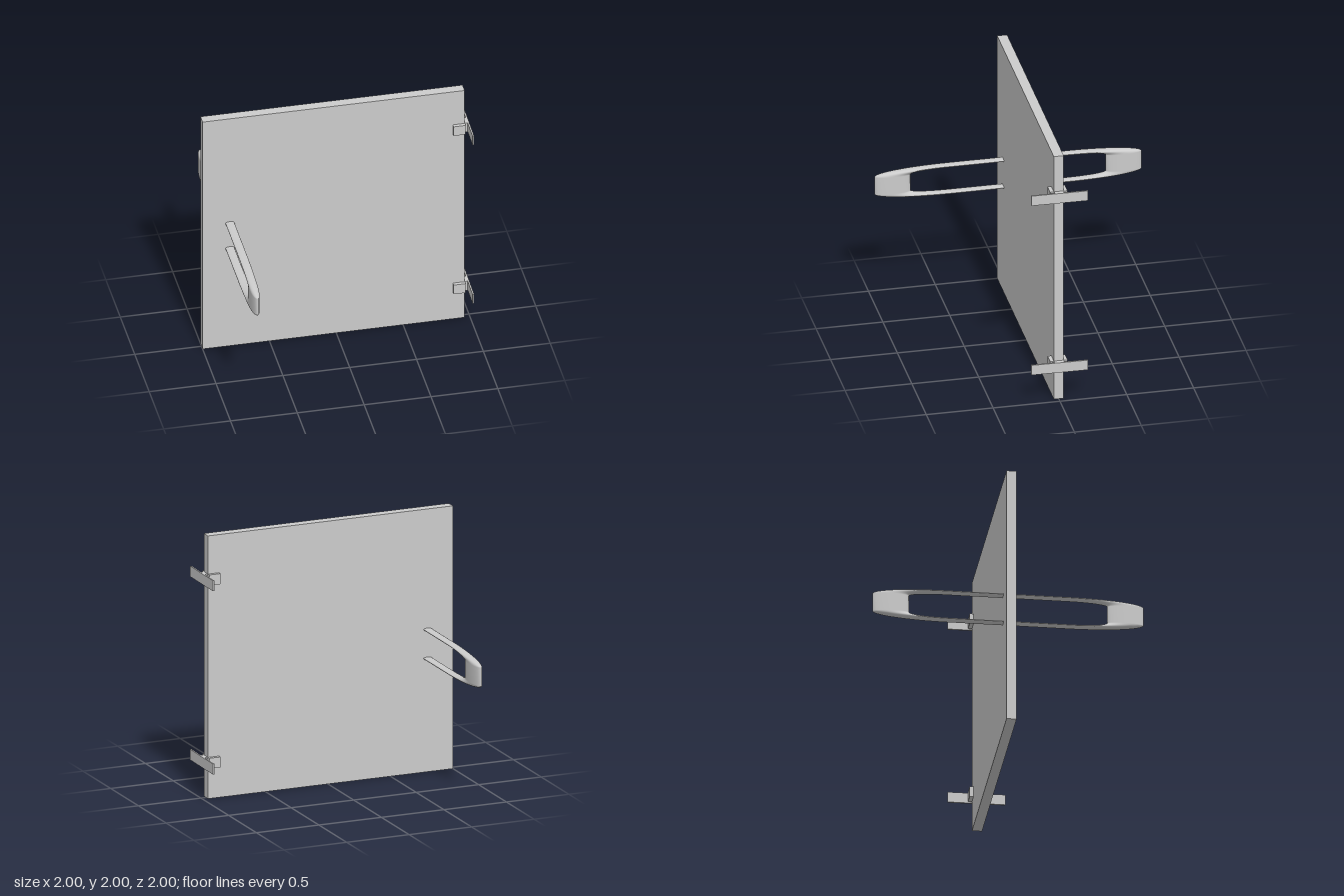
import * as THREE from 'three';

const material = new THREE.MeshStandardMaterial({ color: 0xcccccc });

function box(name, x0, x1, height, depth, y) {
  const mesh = new THREE.Mesh(new THREE.BoxGeometry(x1 - x0, height, depth), material);
  mesh.name = name;
  mesh.position.set((x0 + x1) / 2, y, 0);
  return mesh;
}

// Closed outline in (z, y): a rectangle with elliptical corners
function outline(halfZ, halfY, rz, ry, steps) {
  const points = [];
  for (let q = 0; q < 4; q++) {
    const sz = q === 0 || q === 3 ? 1 : -1;
    const sy = q < 2 ? 1 : -1;
    for (let i = 0; i <= steps; i++) {
      const a = (q + i / steps) * Math.PI / 2;
      points.push([sz * (halfZ - rz) + rz * Math.cos(a), sy * (halfY - ry) + ry * Math.sin(a)]);
    }
  }
  return points;
}

// Elliptical sections swept between the outer and inner outlines
function loopGeometry(halfWidth) {
  const outer = outline(1, 0.12, 0.55, 0.05, 14);
  const inner = outline(0.73, 0.1, 0.28, 0.035, 14);
  const sides = 20, n = outer.length, pos = [], index = [];
  for (let i = 0; i < n; i++) {
    for (let j = 0; j < sides; j++) {
      const a = j / sides * Math.PI * 2;
      const t = (1 + Math.cos(a)) / 2;
      pos.push(
        halfWidth * Math.sin(a),
        inner[i][1] + (outer[i][1] - inner[i][1]) * t,
        inner[i][0] + (outer[i][0] - inner[i][0]) * t);
      const k = (i + 1) % n, m = (j + 1) % sides;
      const p = i * sides + j, q = k * sides + j, r = k * sides + m, s = i * sides + m;
      index.push(p, s, q, s, r, q);
    }
  }
  const g = new THREE.BufferGeometry();
  g.setAttribute('position', new THREE.Float32BufferAttribute(pos, 3));
  g.setIndex(index);
  // Make the winding face outward
  const v = i => new THREE.Vector3().fromArray(pos, i * 3);
  let volume = 0;
  for (let i = 0; i < index.length; i += 3) {
    volume += v(index[i]).dot(v(index[i + 1]).cross(v(index[i + 2])));
  }
  if (volume < 0) g.setIndex(index.slice().reverse());
  g.computeVertexNormals();
  return g;
}

export function createModel() {
  const model = new THREE.Group();
  model.name = 'hingedDoor';

  // Door panel
  model.add(box('doorPanel', -1, 0.96, 2, 0.074, 1));

  // Long pull handle passing through the panel
  const handle = new THREE.Mesh(loopGeometry(0.033), material);
  handle.name = 'handle';
  handle.position.set(-0.797, 0.974, 0);
  model.add(handle);

  // Hinges: clamp around the panel edge, short link and wall plate
  for (const y of [0.275, 1.67]) {
    const hinge = new THREE.Group();
    hinge.name = 'hinge';
    hinge.add(
      box('clamp', 0.872, 0.962, 0.08, 0.13, y),
      box('link', 0.955, 0.988, 0.08, 0.07, y));
    const plate = box('wallPlate', 0.984, 0.996, 0.08, 0.424, y);
    plate.rotation.y = -0.012;
    hinge.add(plate);
    model.add(hinge);
  }
  return model;
}
